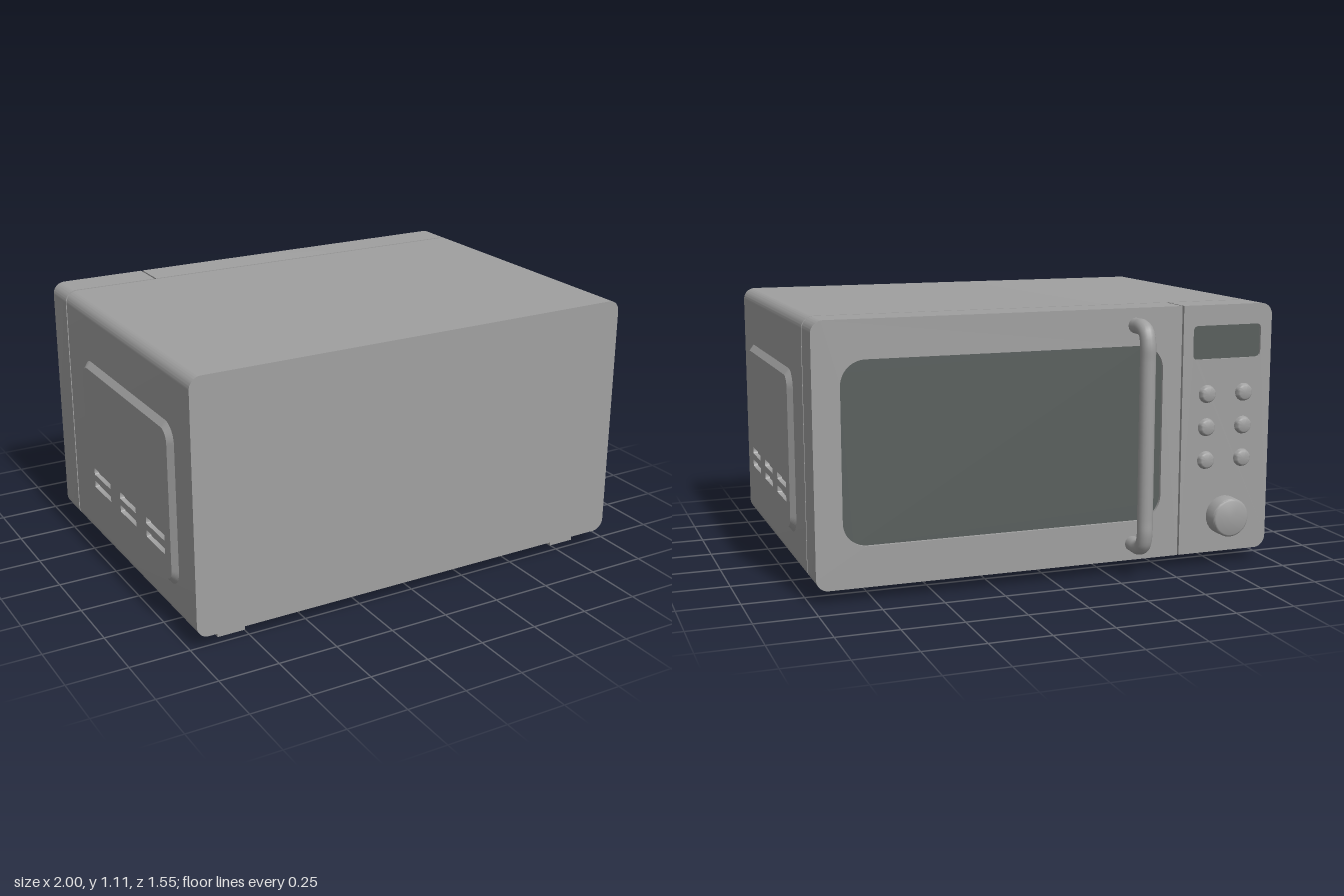
import * as THREE from 'three';
import { toCreasedNormals } from 'three/addons/utils/BufferGeometryUtils.js';

const grey = new THREE.MeshStandardMaterial({ color: 0xa0a0a0 });
grey.name = 'body grey';
const glass = new THREE.MeshStandardMaterial({ color: 0x585e5c });
glass.name = 'dark glass';

// Rounded rectangle; radii in order: bottom left, bottom right, top right, top left
function roundRect(x0, y0, x1, y1, r, Type = THREE.Shape) {
  const [a, b, c, d] = Array.isArray(r) ? r : [r, r, r, r];
  const s = new Type();
  s.moveTo(x0 + a, y0);
  s.lineTo(x1 - b, y0);
  if (b) s.absarc(x1 - b, y0 + b, b, -Math.PI / 2, 0);
  s.lineTo(x1, y1 - c);
  if (c) s.absarc(x1 - c, y1 - c, c, 0, Math.PI / 2);
  s.lineTo(x0 + d, y1);
  if (d) s.absarc(x0 + d, y1 - d, d, Math.PI / 2, Math.PI);
  s.lineTo(x0, y0 + a);
  if (a) s.absarc(x0 + a, y0 + a, a, Math.PI, Math.PI * 1.5);
  return s;
}

// Extrude a shape from z0 to z1 with sharp rims and smooth corners
function slab(shape, z0, z1) {
  const g = new THREE.ExtrudeGeometry(shape, { depth: z1 - z0, bevelEnabled: false, curveSegments: 8 });
  g.translate(0, 0, z0);
  return toCreasedNormals(g, 0.6);
}

// Sloping band between two outlines with matching point counts
function bevelBand(outer, inner, depth) {
  const a = outer.getPoints(8), b = inner.getPoints(8), pos = [];
  for (let i = 0; i < a.length; i++) {
    const j = (i + 1) % a.length;
    const p = [a[i].x, a[i].y, 0], q = [a[j].x, a[j].y, 0];
    const s = [b[i].x, b[i].y, depth], t = [b[j].x, b[j].y, depth];
    pos.push(...p, ...q, ...t, ...p, ...t, ...s);
  }
  const g = new THREE.BufferGeometry();
  g.setAttribute('position', new THREE.Float32BufferAttribute(pos, 3));
  g.computeVertexNormals();
  return g;
}

// Round control with a softened front rim, pointing towards -z
function roundControl(baseR, topR, height, bevel) {
  const pts = [[baseR, 0], [topR, height - bevel], [topR - bevel * 0.4, height - bevel * 0.3], [topR - bevel, height], [0, height]]
    .map(([x, y]) => new THREE.Vector2(x, y));
  const g = new THREE.LatheGeometry(pts, 28);
  g.rotateX(-Math.PI / 2);
  return toCreasedNormals(g, 0.7);
}

export function createModel() {
  const model = new THREE.Group();
  const add = (name, geometry, material = grey, parent = model) => {
    const m = new THREE.Mesh(geometry, material);
    m.name = name;
    parent.add(m);
    return m;
  };
  const W = 0.98, Y0 = 0.055, Y1 = 1.105, R = 0.05, FRONT = -0.625;

  // Cabinet, and a recessed core visible inside the seams
  add('cabinet', slab(roundRect(-W, Y0, W, Y1, R), -0.465, 0.775));
  add('seamCore', slab(roundRect(-W + 0.015, Y0 + 0.015, W - 0.015, Y1 - 0.015, R), -0.6, -0.46));

  // Door with window opening
  const door = roundRect(-0.563, Y0, W, Y1, [0, R, R, 0]);
  door.holes.push(roundRect(-0.48, 0.22, 0.87, 0.95, 0.1, THREE.Path));
  add('door', slab(door, FRONT, -0.475));
  add('doorWindow', slab(roundRect(-0.49, 0.21, 0.88, 0.96, 0.1), -0.612, -0.604), glass);

  // Control panel with display opening
  const panel = roundRect(-W, Y0, -0.571, Y1, [R, 0, 0, R]);
  panel.holes.push(roundRect(-0.93, 0.88, -0.617, 1.02, 0.02, THREE.Path));
  add('controlPanel', slab(panel, FRONT, -0.475));
  add('display', slab(roundRect(-0.94, 0.87, -0.607, 1.03, 0.02), -0.615, -0.607), glass);

  // Buttons and knob
  for (const y of [0.735, 0.595, 0.455]) {
    for (const x of [-0.685, -0.855]) {
      add('button', roundControl(0.038, 0.034, 0.022, 0.008)).position.set(x, y, FRONT);
    }
  }
  add('knob', roundControl(0.083, 0.082, 0.071, 0.01)).position.set(-0.778, 0.213, FRONT);

  // Handle: a bent tube
  const half = [[-0.61, 1.034], [-0.65, 1.034], [-0.685, 1.034], [-0.727, 1.015], [-0.743, 0.968], [-0.743, 0.9]];
  const path = [...half, ...half.map(([z, y]) => [z, 1.16 - y]).reverse()]
    .map(([z, y]) => new THREE.Vector3(-0.354, y, z));
  add('handle', new THREE.TubeGeometry(new THREE.CatmullRomCurve3(path, false, 'centripetal'), 80, 0.032, 16));

  // Raised side panels with vent slots
  for (const side of [1, -1]) {
    const group = new THREE.Group();
    group.name = side > 0 ? 'leftSidePanel' : 'rightSidePanel';
    const rect = (za, zb, y0, y1, r, Type) => {
      const u = [-side * za, -side * zb].sort((p, q) => p - q);
      return roundRect(u[0], y0, u[1], y1, r, Type);
    };
    const outer = rect(-0.285, 0.625, 0.195, 0.87, 0.075);
    const inner = rect(-0.26, 0.6, 0.22, 0.845, 0.05);
    add('panelBevel', bevelBand(outer, inner, 0.02), grey, group);
    for (const [za, zb] of [[0.365, 0.545], [0.095, 0.26], [-0.19, -0.01]]) {
      for (const y of [0.316, 0.374]) {
        inner.holes.push(rect(za, zb, y, y + 0.03, 0.004, THREE.Path));
      }
    }
    add('ventPanel', slab(inner, 0, 0.02), grey, group);
    group.position.x = side * W;
    group.rotation.y = side * Math.PI / 2;
    model.add(group);
  }

  // Feet
  for (const x of [-0.807, 0.807]) {
    for (const z of [0.65, -0.37]) {
      add('foot', new THREE.BoxGeometry(0.117, 0.06, 0.122)).position.set(x, 0.03, z);
    }
  }
  return model;
}
